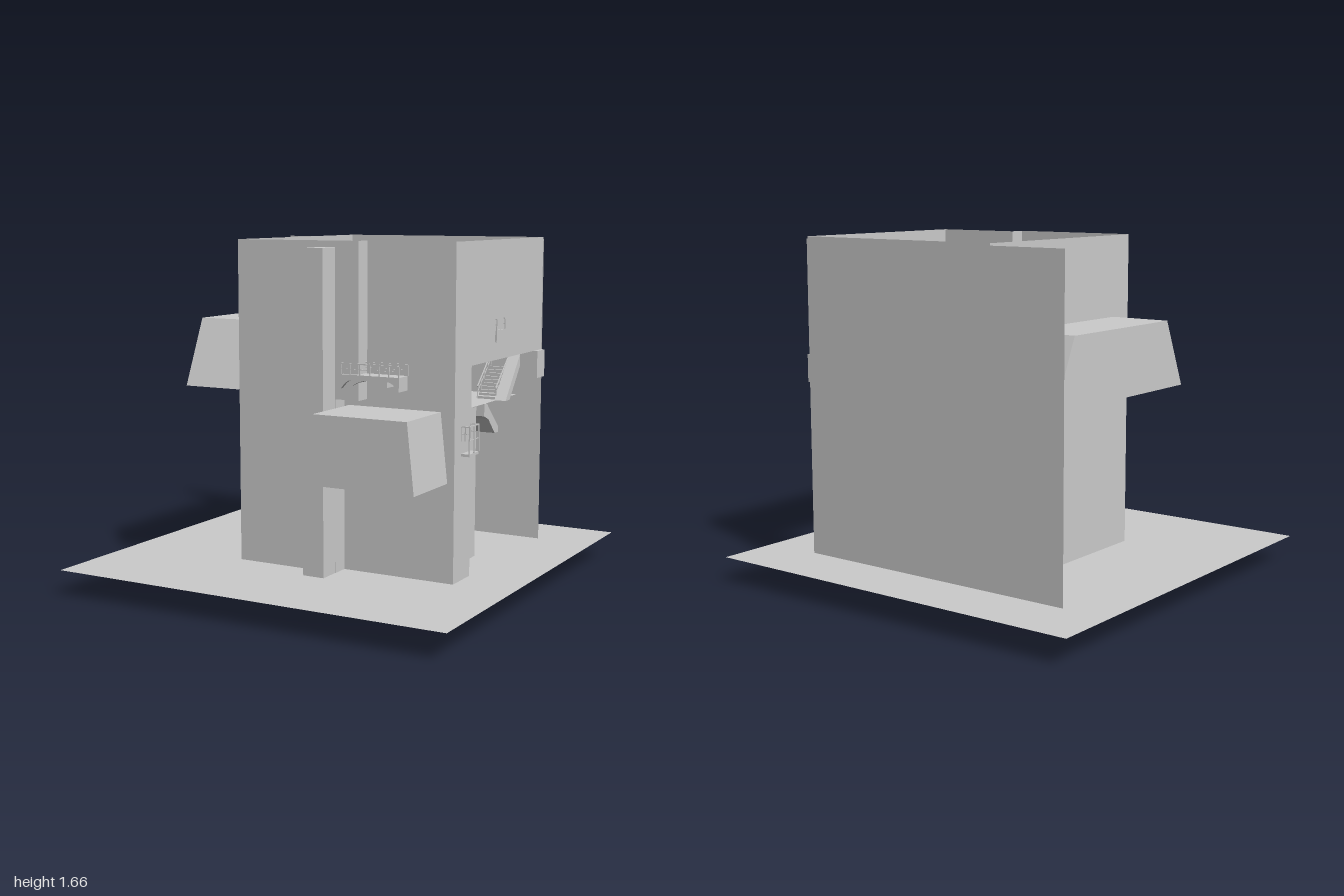
import * as THREE from 'three';

export function createModel() {
  const root = new THREE.Group();
  const mat = new THREE.MeshStandardMaterial({ color: 0xcccccc, side: THREE.DoubleSide, flatShading: true });
  const GROUND = 0.125, TOP = 1.66;

  const add = (name, geo, parent = root) => {
    const m = new THREE.Mesh(geo, mat);
    m.name = name;
    parent.add(m);
    return m;
  };
  const group = (name) => {
    const g = new THREE.Group();
    g.name = name;
    root.add(g);
    return g;
  };
  // box given by its limits
  const block = (name, x0, x1, y0, y1, z0, z1, parent) => {
    const m = add(name, new THREE.BoxGeometry(x1 - x0, y1 - y0, z1 - z0), parent);
    m.position.set((x0 + x1) / 2, (y0 + y1) / 2, (z0 + z1) / 2);
    return m;
  };
  // thin upright wall following a plan path of [x, z] points
  const wall = (name, path, y0, y1) => {
    const pos = [];
    for (let i = 0; i + 1 < path.length; i++) {
      const [a, b] = path[i], [c, d] = path[i + 1];
      pos.push(a, y0, b, c, y0, d, c, y1, d, a, y0, b, c, y1, d, a, y1, b);
    }
    const g = new THREE.BufferGeometry();
    g.setAttribute('position', new THREE.Float32BufferAttribute(pos, 3));
    g.computeVertexNormals();
    return add(name, g);
  };
  // thin horizontal slab
  const slab = (name, x0, x1, z0, z1, y) => {
    const m = add(name, new THREE.PlaneGeometry(x1 - x0, z1 - z0).rotateX(-Math.PI / 2));
    m.position.set((x0 + x1) / 2, y, (z0 + z1) / 2);
    return m;
  };
  // thin straight bar between two points
  const bar = (parent, a, b, r = 0.003) => {
    const p = new THREE.Vector3(...a), q = new THREE.Vector3(...b);
    const m = add('bar', new THREE.BoxGeometry(r, r, p.distanceTo(q)), parent);
    m.position.copy(p).lerp(q, 0.5);
    m.lookAt(q);
  };
  // railing with posts; the two ends may differ in height
  const railing = (a, b, n = 4, h = 0.055) => {
    const g = group('railing');
    const up = (p, k) => [p[0], p[1] + h * k, p[2]];
    bar(g, up(a, 1), up(b, 1), 0.005);
    bar(g, up(a, 0.5), up(b, 0.5));
    for (let i = 0; i <= n; i++) {
      const p = a.map((v, k) => v + (b[k] - v) * i / n);
      bar(g, p, up(p, 1), 0.005);
    }
  };
  // flight of steps from y0 at the low x/z end to y1 at the high end
  const stairs = (axis, x0, x1, z0, z1, y0, y1, n = 10) => {
    const g = group('stairs');
    for (let i = 0; i < n; i++) {
      const t = i / n, u = (i + 1) / n, y = y0 + (y1 - y0) * (t + u) / 2;
      if (axis === 'x') block('step', x0 + (x1 - x0) * t, x0 + (x1 - x0) * u, y - 0.012, y, z0, z1, g);
      else block('step', x0, x1, y - 0.012, y, z0 + (z1 - z0) * t, z0 + (z1 - z0) * u, g);
    }
    if (axis === 'x') for (const z of [z0, z1]) railing([x0, y0, z], [x1, y1, z]);
    else for (const x of [x0, x1]) railing([x, y0, z0], [x, y1, z1]);
  };
  // prism from a profile of [u, y] points
  const prism = (name, pts, depth) =>
    add(name, new THREE.ExtrudeGeometry(new THREE.Shape(pts.map((p) => new THREE.Vector2(...p))), { depth, bevelEnabled: false }));
  // deck on an arch, running along x
  const archBridge = (name, x0, x1, z0, z1, y, drop) => {
    const s = new THREE.Shape();
    const e = (x1 - x0) * 0.1;
    s.moveTo(x0, y);
    s.lineTo(x0, y - drop);
    s.quadraticCurveTo(x0 + e, y - drop * 0.35, x0 + 2 * e, y - drop * 0.35);
    s.lineTo(x0 + 2 * e, y - drop * 0.75);
    s.quadraticCurveTo((x0 + x1) / 2, y + drop * 0.1, x1 - 2 * e, y - drop * 0.75);
    s.lineTo(x1 - 2 * e, y - drop * 0.35);
    s.quadraticCurveTo(x1 - e, y - drop * 0.35, x1, y - drop);
    s.lineTo(x1, y);
    const m = add(name, new THREE.ExtrudeGeometry(s, { depth: z1 - z0, bevelEnabled: false, curveSegments: 8 }));
    m.position.z = z0;
    for (const z of [z0, z1]) railing([x0, y, z], [x1, y, z], 6, 0.05);
  };

  // ground and outer shell
  slab('ground', -1, 1, -1, 1, GROUND);
  wall('backWall', [[-0.765, -0.687], [0.715, -0.687]], GROUND, 1.65);
  wall('backWallTop', [[-0.375, -0.685], [0.712, -0.685]], 1.6, TOP);
  wall('leftWall', [[-0.375, -0.685], [-0.375, 0.412]], GROUND, TOP);
  wall('leftWallFooting', [[-0.22, -0.45], [-0.22, -0.37], [-0.36, -0.37], [-0.375, 0.412]], 0, GROUND);
  wall('frontWall', [[-0.375, 0.412], [0.15, 0.412], [0.15, 0.33], [0.712, 0.33], [0.712, 0.155]], 0, 0.94);
  wall('frontWallUpper', [[-0.375, 0.412], [0.27, 0.412], [0.27, 0.33], [0.712, 0.33], [0.712, 0.155]], 0.94, TOP);
  slab('frontSoffit', 0.15, 0.27, 0.33, 0.412, 0.94);
  wall('rightWallUpper', [[0.712, 0.155], [0.712, -0.685]], 1.1, TOP);

  // recess below the right wall
  slab('recessCeiling', 0.58, 0.712, -0.58, 0.155, 1.1);
  wall('recessWall', [[0.712, 0.155], [0.58, 0.155], [0.58, -0.105]], 0.86, 1.1);
  wall('recessWallLower', [[0.712, 0.155], [0.58, 0.155], [0.58, -0.195], [0.33, -0.195], [0.33, -0.685]], 0, 0.86);
  slab('recessLanding', 0.33, 0.58, -0.685, -0.105, 0.862);
  wall('recessBackWall', [[0.33, -0.195], [0.33, -0.685]], 0.86, 1.1);
  block('cornerLedge', 0.6, 0.732, 0.965, 1.1, -0.682, -0.585);
  const brace = prism('stairBrace', [[-0.41, 0.865], [-0.46, 0.865], [-0.585, 1.02], [-0.585, 1.08]], 0.06);
  brace.rotation.y = -Math.PI / 2;
  brace.position.x = 0.64;
  const chute = prism('stairSide', [[-0.29, 0.86], [-0.32, 0.86], [-0.46, 0.73], [-0.46, 0.7], [-0.42, 0.7], [-0.34, 0.78], [-0.29, 0.8]], 0.1);
  chute.rotation.y = -Math.PI / 2;
  chute.position.x = 0.58;

  // closed footing block at the back, and the front pillar
  block('footing', -0.21, 0.05, 0, 0.4, -0.684, -0.45);
  wall('pillar', [[0.04, 0.412], [0.04, 0.522], [0.148, 0.522], [0.148, 0.412]], 0, 1.63);
  slab('pillarCap', 0.04, 0.148, 0.412, 0.522, 1.63);

  // tapered bays hanging on the front and the left
  prism('frontBay', [[0.17, 0.59], [0.69, 0.59], [0.655, 0.91], [0.19, 0.91]], 0.33).position.z = 0.355;
  const leftBay = prism('leftBay', [[-0.405, 0.95], [0.645, 0.95], [0.5, 1.27], [-0.265, 1.27]], 0.3);
  leftBay.rotation.y = Math.PI / 2;
  leftBay.position.x = -0.688;

  // bridges and balconies
  archBridge('frontBalcony', 0.19, 0.485, 0.345, 0.432, 1.06, 0.065);
  archBridge('highBridge', 0.085, 0.72, -0.2, -0.105, 1.24, 0.06);
  block('rightBalcony', 0.66, 0.752, 0.7, 0.712, 0.157, 0.258);
  railing([0.752, 0.712, 0.157], [0.752, 0.712, 0.258], 2, 0.125);
  for (const z of [0.157, 0.258]) railing([0.712, 0.77, z], [0.752, 0.77, z], 2, 0.065);

  // inner floors
  block('highPlatform', 0.15, 0.58, 1.3, 1.35, 0.05, 0.328);
  railing([0.26, 1.35, 0.14], [0.5, 1.35, 0.14], 5);
  slab('leftWalkway', -0.37, -0.24, -0.5, 0.41, 0.77);
  slab('frontWalkway', -0.24, 0.15, 0.225, 0.41, 0.77);
  slab('backLanding', -0.36, -0.02, -0.685, -0.5, 0.8);
  slab('backFloor', -0.02, 0.33, -0.685, -0.43, 0.86);
  railing([-0.24, 0.77, -0.385], [-0.24, 0.77, 0.225], 8);
  railing([-0.24, 0.77, 0.225], [0.15, 0.77, 0.225], 6);

  // flights of steps
  stairs('z', -0.355, -0.255, -0.68, -0.54, 0.98, 0.8);
  stairs('z', -0.25, -0.15, -0.68, -0.55, 0.98, 0.8);
  stairs('x', -0.02, 0.2, -0.56, -0.435, 0.86, 1.02, 14);
  stairs('z', 0.225, 0.33, -0.46, -0.29, 1.02, 1.16);
  stairs('z', 0.48, 0.58, -0.59, -0.43, 1.02, 0.87);
  stairs('x', 0.25, 0.43, -0.1, -0.035, 1.24, 1.3);
  stairs('x', 0.43, 0.575, -0.03, 0.05, 1.3, 1.35, 6);
  stairs('z', 0.15, 0.26, 0.15, 0.31, 1.35, 1.45);
  stairs('x', -0.22, 0.15, 0.315, 0.408, 0.77, 0.94, 20);
  stairs('z', -0.355, -0.255, -0.09, 0.085, 0.77, 0.9, 12);
  return root;
}
